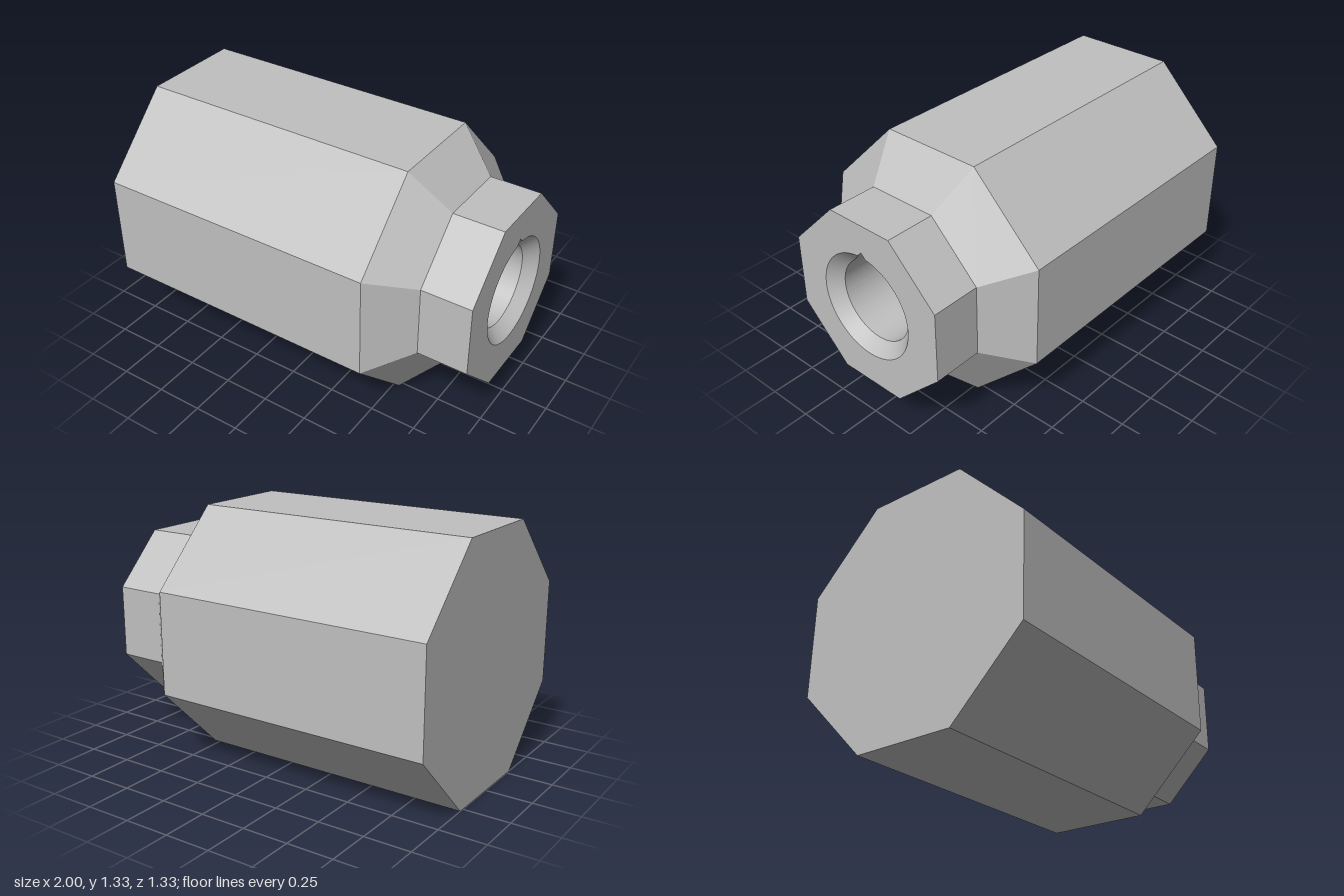
import * as THREE from 'three';
import { toCreasedNormals } from 'three/addons/utils/BufferGeometryUtils.js';

const AXIS = 0.667;  // height of the long axis, also the body's apothem
const BORE = 0.22, SINK = 0.285, SQUARE = 0.193;

// Point at an angle from straight up (towards +z) around the x axis
const polar = (x, r, t) => new THREE.Vector3(x, AXIS + r * Math.cos(t), r * Math.sin(t));

function octagon(x, apothem) {
  return Array.from({ length: 8 }, (_, i) =>
    polar(x, apothem / Math.cos(Math.PI / 8), (i + 0.5) * Math.PI / 4));
}

// Walls between successive rings: back to front faces out, front to back faces in
function loft(rings) {
  const pos = [], tri = new THREE.Triangle();
  const add = (a, b, c) => {
    if (tri.set(a, b, c).getArea() > 1e-9) pos.push(...a.toArray(), ...b.toArray(), ...c.toArray());
  };
  for (let j = 0; j < rings.length - 1; j++) {
    const p = rings[j], q = rings[j + 1], n = p.length;
    for (let i = 0; i < n; i++) {
      const k = (i + 1) % n;
      add(p[i], p[k], q[i]);
      add(p[k], q[k], q[i]);
    }
  }
  const g = new THREE.BufferGeometry();
  g.setAttribute('position', new THREE.Float32BufferAttribute(pos, 3));
  return toCreasedNormals(g, 0.35);
}

// Flat end face across a ring, facing +x (dir 1) or -x (dir -1)
function cap(ring, dir, hole) {
  const flat = r => r.map(p => new THREE.Vector2(-dir * p.z, p.y));
  const shape = new THREE.Shape(flat(ring));
  if (hole) shape.holes.push(new THREE.Path(flat(hole)));
  return new THREE.ShapeGeometry(shape).rotateY(dir * Math.PI / 2).translate(ring[0].x, 0, 0);
}

export function createModel() {
  const group = new THREE.Group();
  const grey = new THREE.MeshStandardMaterial({ color: 0xc0c0c0 });
  grey.name = 'light grey';
  const add = (name, geometry) => {
    const mesh = new THREE.Mesh(geometry, grey);
    mesh.name = name;
    group.add(mesh);
  };

  // Octagonal outside: body, bevelled shoulder and neck
  const back = octagon(-1, AXIS), shoulder = octagon(0.53, AXIS);
  const neck = octagon(0.73, 0.466), front = octagon(1, 0.466);
  add('body', loft([back, shoulder]));
  add('shoulder', loft([shoulder, neck]));
  add('neck', loft([neck, front]));
  add('backFace', cap(back, -1));

  // Teardrop bore: a circle whose 45 degree tangents meet above it
  const angles = Array.from({ length: 144 }, (_, i) => i * Math.PI / 72);
  const teardrop = t => {
    const a = Math.min(t, 2 * Math.PI - t);
    return a < Math.PI / 4 ? BORE / Math.cos(Math.PI / 4 - a) : BORE;
  };
  const rim = angles.map(t => polar(1, Math.max(SINK, teardrop(t)), t));
  const sinkEnd = angles.map(t => polar(1 - Math.max(0, SINK - teardrop(t)), teardrop(t), t));
  const boreEnd = angles.map(t => polar(0.2, teardrop(t), t));
  add('frontFace', cap(front, 1, rim));
  add('countersink', loft([rim, sinkEnd]));
  add('bore', loft([sinkEnd, boreEnd]));

  // Square socket with a pointed roof, beyond a small ledge
  const socket = x => boreEnd.map(p => new THREE.Vector3(x,
    Math.max(p.y, AXIS - SQUARE), THREE.MathUtils.clamp(p.z, -SQUARE, SQUARE)));
  const socketStart = socket(0.2), socketEnd = socket(-0.6);
  add('ledge', loft([boreEnd, socketStart]));
  add('socket', loft([socketStart, socketEnd]));
  add('socketFloor', cap(socketEnd, 1));

  return group;
}
